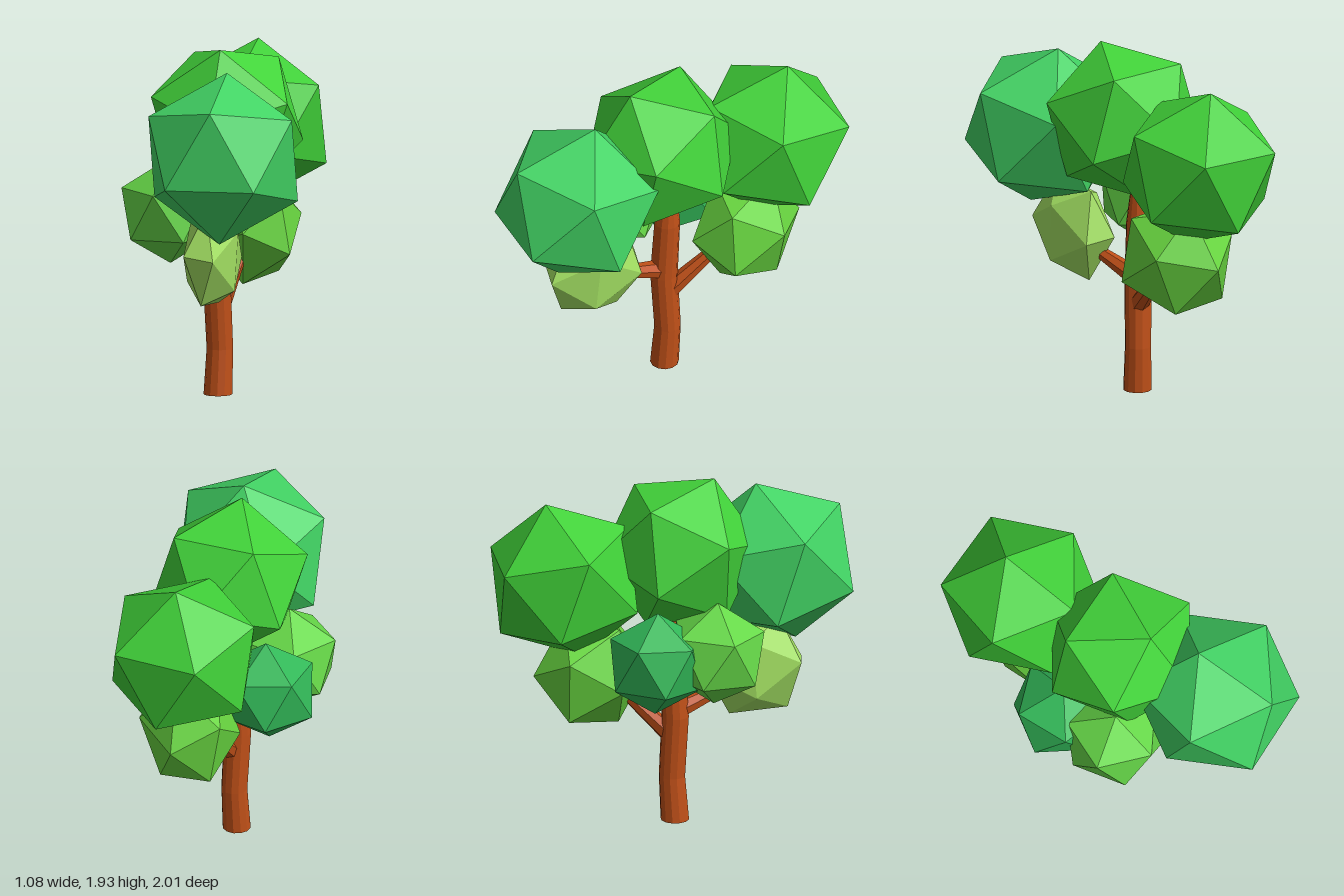
import * as THREE from 'three';

const V = (p) => new THREE.Vector3(...p);
const mat = (color) => new THREE.MeshStandardMaterial({ color, flatShading: true });

// Rotation basis whose first two axes span the directions a and b
function basis(a, b) {
  const e1 = V(a).normalize();
  const e2 = V(b).addScaledVector(e1, -V(b).dot(e1)).normalize();
  return new THREE.Matrix4().makeBasis(e1, e2, e1.clone().cross(e2));
}

// Icosahedron turned so two neighbouring corners point along a and b,
// optionally flattened along a horizontal axis at the given turn
function foliage({ name, color, centre, r, a, b, squash = 1, turn = 0 }) {
  const phi = (1 + Math.sqrt(5)) / 2;
  const geo = new THREE.IcosahedronGeometry(r, 0);
  geo.applyMatrix4(basis(a, b).multiply(basis([0, 1, phi], [0, -1, phi]).transpose()));
  geo.rotateY(-turn).scale(squash, 1, 1).rotateY(turn);
  geo.computeVertexNormals();
  const mesh = new THREE.Mesh(geo, mat(color));
  mesh.name = name;
  mesh.position.set(...centre);
  return mesh;
}

// Round stem following rows of [x, y, z, radius]
function stem(name, rows, sides, material) {
  const n = rows.length - 1;
  const geo = new THREE.CylinderGeometry(1, 1, 1, sides, n);
  const pos = geo.attributes.position;
  for (let i = 0; i < pos.count; i++) {
    const [x, y, z, r] = rows[Math.round((pos.getY(i) + 0.5) * n)];
    pos.setXYZ(i, x + pos.getX(i) * r, y, z + pos.getZ(i) * r);
  }
  geo.computeVertexNormals();
  const mesh = new THREE.Mesh(geo, material);
  mesh.name = name;
  return mesh;
}

// Straight tapered limb between two points
function limb(name, from, to, r0, r1, material) {
  const d = V(to).sub(V(from));
  const mesh = new THREE.Mesh(new THREE.CylinderGeometry(r1, r0, d.length(), 7), material);
  mesh.name = name;
  mesh.position.copy(V(from)).addScaledVector(d, 0.5);
  mesh.quaternion.setFromUnitVectors(new THREE.Vector3(0, 1, 0), d.normalize());
  return mesh;
}

export function createModel() {
  const tree = new THREE.Group();
  tree.name = 'tree';
  const bark = mat(0xc05018);

  // Gently bent trunk, tapering into the crown
  tree.add(stem('trunk', [
    [-0.025, 0, -0.02, 0.078],
    [-0.015, 0.25, -0.033, 0.072],
    [-0.03, 0.6, -0.02, 0.075],
    [-0.02, 0.95, -0.035, 0.07],
    [-0.01, 1.2, -0.04, 0.035],
  ], 12, bark));

  // Side branches
  tree.add(limb('frontBranch', [-0.03, 0.63, -0.01], [-0.03, 0.74, 0.3], 0.055, 0.03, bark));
  tree.add(limb('backBranch', [-0.01, 0.49, -0.04], [0.1, 0.76, -0.3], 0.055, 0.03, bark));

  // Three large crowns in a row, four smaller clumps below
  const clumps = [
    { name: 'frontCrown', color: 0x42d364, centre: [0.035, 1.395, 0.59], r: 0.467,
      a: [0.015, 0.455, -0.11], b: [-0.055, 0.305, 0.35] },
    { name: 'middleCrown', color: 0x42d33a, centre: [0.027, 1.526, 0.032], r: 0.447,
      a: [-0.027, 0.404, 0.188], b: [0.273, 0.314, -0.162] },
    { name: 'backCrown', color: 0x40d038, centre: [0.14, 1.405, -0.6], r: 0.455,
      a: [0.02, 0.445, -0.1], b: [0.37, 0.235, 0.16] },
    { name: 'frontClump', color: 0xa2e062, centre: [-0.03, 0.83, 0.44], r: 0.305,
      a: [-0.065, -0.23, 0.16], b: [0.037, -0.27, -0.18], squash: 0.54, turn: -0.22 },
    { name: 'backClump', color: 0x68d540, centre: [0.14, 0.86, -0.44], r: 0.34,
      a: [-0.06, -0.29, 0.14], b: [0.225, -0.215, -0.19], squash: 0.82, turn: 0.31 },
    { name: 'rightClump', color: 0x66d848, centre: [-0.28, 1.03, 0.12], r: 0.29,
      a: [-0.27, 0.13, 0.01], b: [-0.05, 0.1, 0.235] },
    { name: 'rightBackClump', color: 0x32b858, centre: [-0.24, 1.0, -0.21], r: 0.285,
      a: [-0.61, 0.5, -0.61], b: [0.04, 1, 0.04] },
  ];
  clumps.forEach((c) => tree.add(foliage(c)));
  return tree;
}
